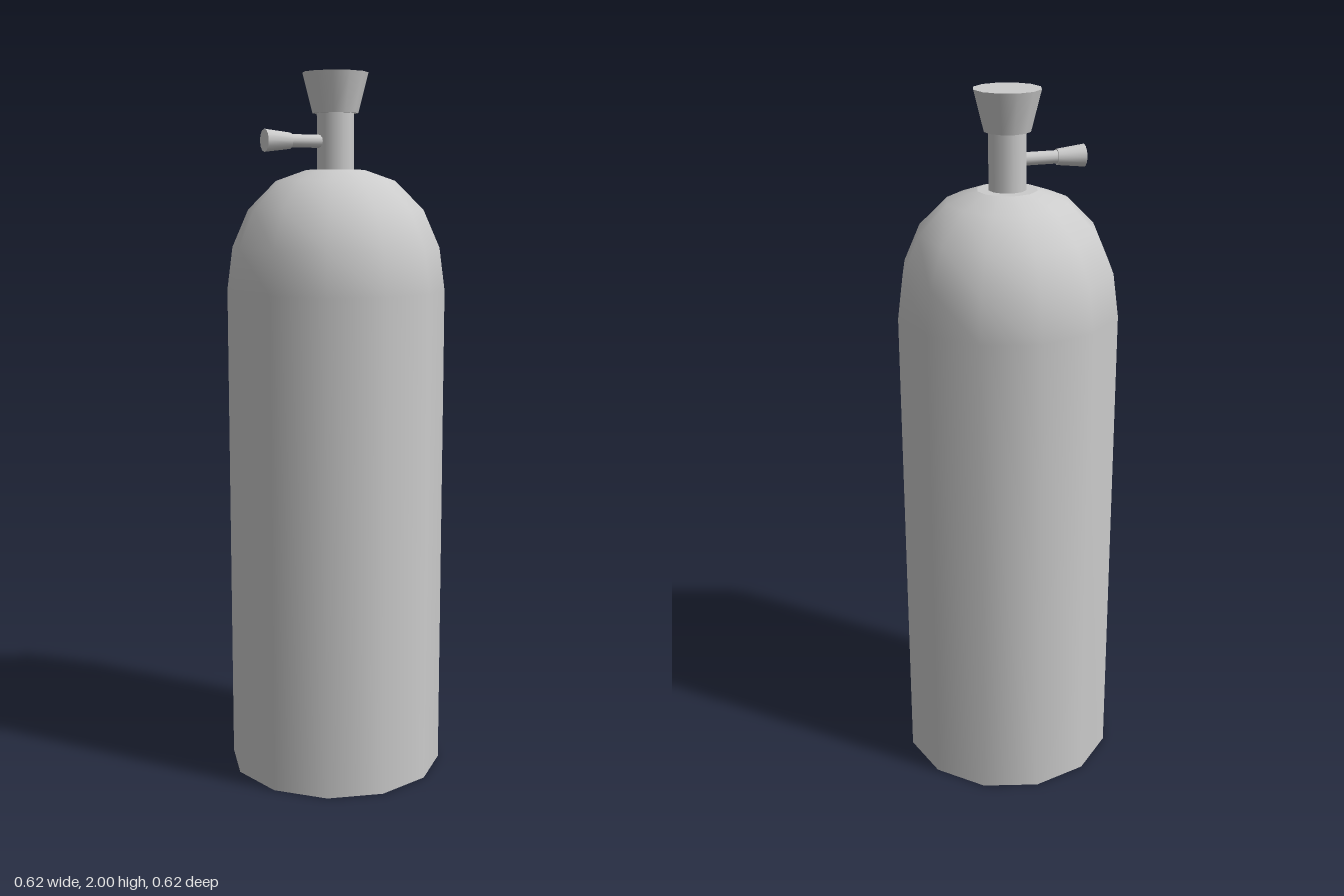
import * as THREE from 'three';

const SIDES = 12;
const material = new THREE.MeshStandardMaterial({ color: 0xcccccc });

function addMesh(parent, name, geometry) {
  const mesh = new THREE.Mesh(geometry, material);
  mesh.name = name;
  parent.add(mesh);
  return mesh;
}

// Capped, tapered round part standing between two heights
function addRound(parent, name, rBottom, rTop, y0, y1) {
  const mesh = addMesh(parent, name, new THREE.CylinderGeometry(rTop, rBottom, y1 - y0, SIDES));
  mesh.position.y = (y0 + y1) / 2;
  return mesh;
}

// Flat disc closing the tank; facing is +1 for up, -1 for down
function addCap(parent, name, radius, y, facing) {
  const mesh = addMesh(parent, name, new THREE.CircleGeometry(radius, SIDES));
  mesh.rotation.x = -facing * Math.PI / 2;
  mesh.position.y = y;
}

export function createModel() {
  const model = new THREE.Group();
  model.name = 'gasCylinder';

  // Tank: straight wall running smoothly into a domed shoulder
  const tank = new THREE.Group();
  tank.name = 'tank';
  model.add(tank);
  const profile = [
    [0.31, 0], [0.31, 1.4], [0.294, 1.52], [0.248, 1.625], [0.168, 1.705], [0.083, 1.735],
  ].map(([r, y]) => new THREE.Vector2(r, y));
  addMesh(tank, 'tankWall', new THREE.LatheGeometry(profile, SIDES));
  addCap(tank, 'tankBase', 0.31, 0, -1);
  addCap(tank, 'tankTop', 0.083, 1.735, 1);

  // Neck and main valve knob
  addRound(model, 'neck', 0.052, 0.052, 1.73, 1.9);
  addRound(model, 'topKnob', 0.064, 0.092, 1.89, 2);

  // Side outlet, built upright and then laid over towards -x
  const outlet = new THREE.Group();
  outlet.name = 'sideValve';
  addRound(outlet, 'sideStem', 0.018, 0.018, 0.03, 0.15);
  addRound(outlet, 'sideKnob', 0.022, 0.031, 0.138, 0.215);
  outlet.rotation.z = Math.PI / 2;
  outlet.position.y = 1.813;
  model.add(outlet);

  return model;
}
